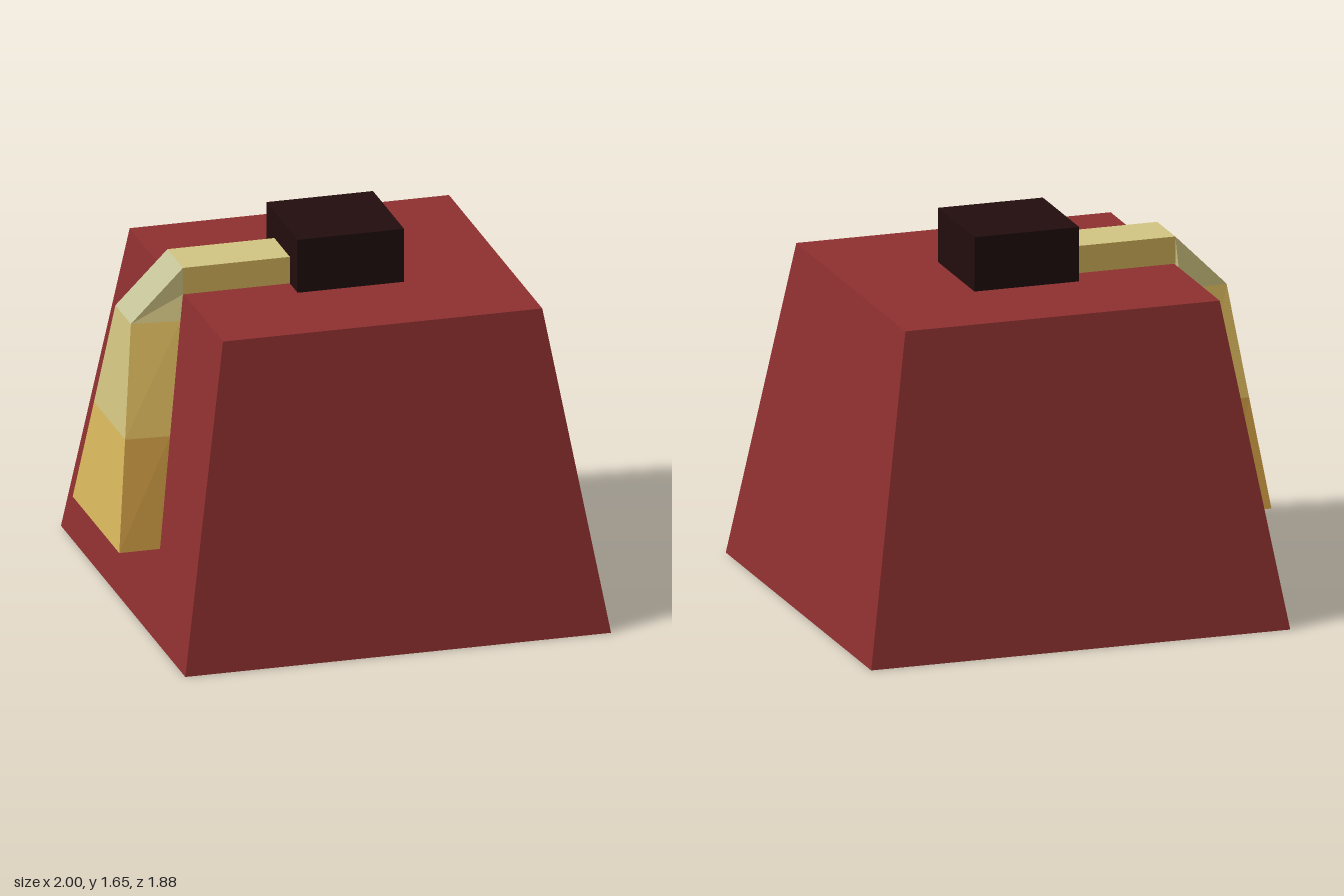
import * as THREE from 'three';

const mat = (name, color) => {
  const m = new THREE.MeshStandardMaterial({ color });
  m.name = name;
  return m;
};

export function createModel() {
  const red = mat('hatRed', 0x8f3030);
  const dark = mat('darkBrown', 0x220d0d);
  const ochre = mat('ochre', 0xc89842);
  const gold = mat('gold', 0xd9b75d);
  const straw = mat('straw', 0xd2c582);
  const pale = mat('paleStraw', 0xc2c096);

  const model = new THREE.Group();
  model.name = 'hat';
  const add = (name, geometry, material) => {
    const mesh = new THREE.Mesh(geometry, material);
    mesh.name = name;
    model.add(mesh);
    return mesh;
  };

  // tapered square crown with a dark underside
  const s = Math.SQRT2;
  const crown = new THREE.CylinderGeometry(0.705 * s, 0.94 * s, 1.41, 4)
    .rotateY(Math.PI / 4).toNonIndexed();
  crown.computeVertexNormals();
  add('crown', crown, [red, red, dark]).position.set(0.06, 0.705, 0);

  // button on top
  add('button', new THREE.BoxGeometry(0.47, 0.24, 0.47), dark).position.set(0.057, 1.53, 0);

  // tassel cross-sections: outer x, y, half width, then inner x, y, half width
  const sections = [
    [-0.178, 1.53, 0.117, -0.178, 1.41, 0.117],
    [-0.65, 1.53, 0.117, -0.65, 1.41, 0.117],
    [-0.88, 1.30, 0.117, -0.668, 1.30, 0.14],
    [-0.94, 0.825, 0.235, -0.745, 0.825, 0.247],
    [-1.0, 0.36, 0.352, -0.82, 0.36, 0.352],
  ];
  const ring = ([ox, oy, ow, ix, iy, iw]) =>
    [[ox, oy, ow], [ox, oy, -ow], [ix, iy, -iw], [ix, iy, iw]];

  // one box-like segment between two sections; groups: 0 outer face, 1 the rest
  const segment = (a, b, capped) => {
    const quads = [0, 1, 2, 3].map((j) => [a[j], a[(j + 1) % 4], b[(j + 1) % 4], b[j]]);
    if (capped) quads.push(b);
    const points = quads.flatMap(([p, q, r, t]) => [p, q, r, p, r, t]);
    const g = new THREE.BufferGeometry();
    g.setAttribute('position', new THREE.Float32BufferAttribute(points.flat(), 3));
    g.addGroup(0, 6, 0);
    g.addGroup(6, points.length - 6, 1);
    g.computeVertexNormals();
    return g;
  };

  // outer and side colours of each tassel segment, from button to tip
  const parts = [
    ['tasselCord', straw, gold],
    ['tasselBend', pale, straw],
    ['tasselFringe', straw, gold],
    ['tasselTip', gold, ochre],
  ];
  parts.forEach(([name, outer, side], i) => {
    add(name, segment(ring(sections[i]), ring(sections[i + 1]), i === 3), [outer, side]);
  });

  return model;
}
